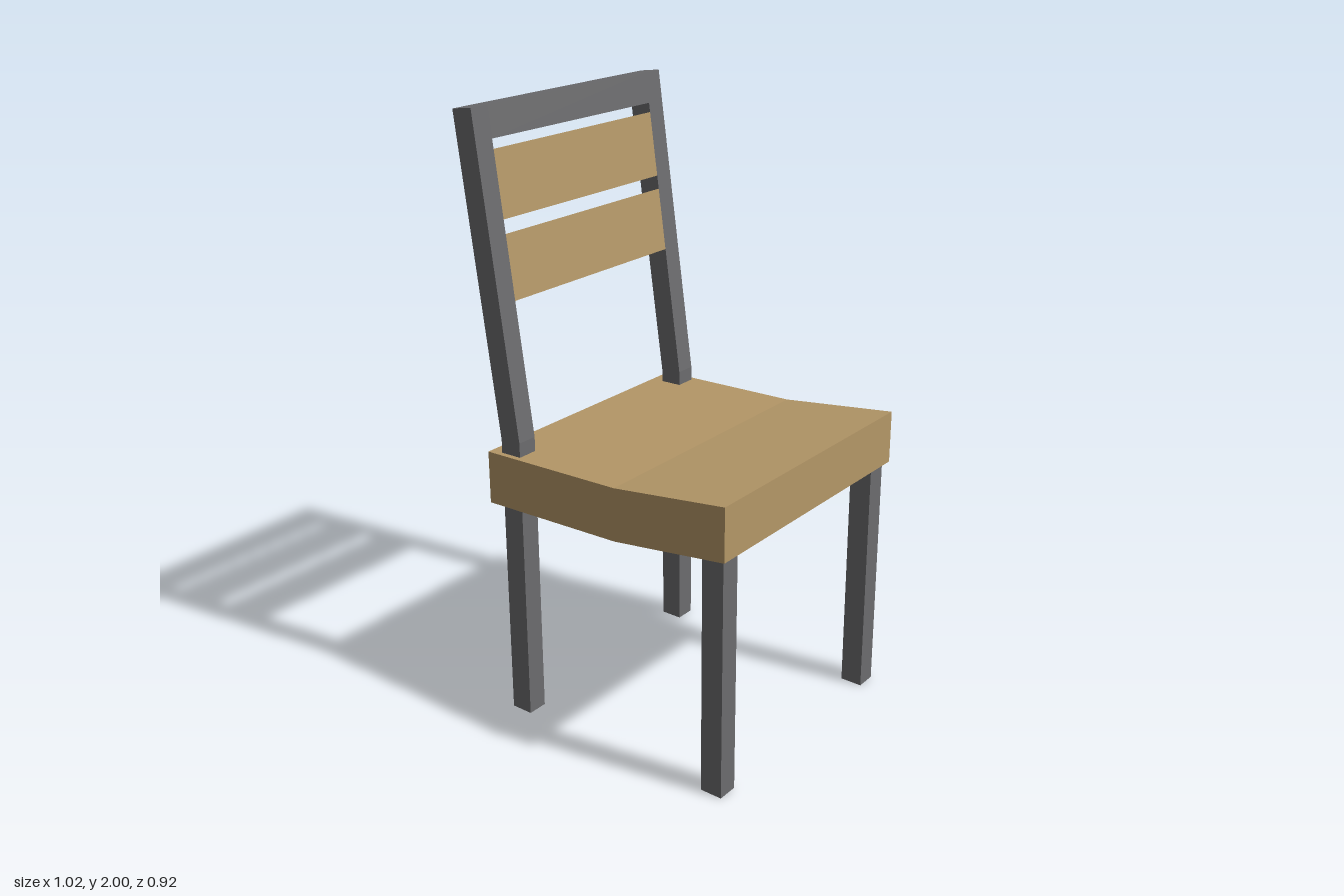
import * as THREE from 'three';

const wood = new THREE.MeshStandardMaterial({ color: 0xb59868, side: THREE.DoubleSide });
wood.name = 'wood';
const metal = new THREE.MeshStandardMaterial({ color: 0x6c6c6e, side: THREE.DoubleSide });
metal.name = 'grey metal';

const BAR = 0.076;      // bar size along x
const BAR_Z = 0.07;     // bar size along z
const SIDE_Z = 0.409;   // bar centre from the middle
const INNER = 2 * SIDE_Z - BAR_Z;

// Box given by its limits in x and y, centred on z, with an optional open bottom
function box(x0, x1, y0, y1, depth, open = false, segments = 1) {
  const g = new THREE.BoxGeometry(x1 - x0, y1 - y0, depth, segments, 1, 1);
  g.translate((x0 + x1) / 2, (y0 + y1) / 2, 0);
  if (open) {
    const bottom = g.groups[3];
    const index = Array.from(g.index.array);
    index.splice(bottom.start, bottom.count);
    g.setIndex(index);
  }
  g.clearGroups();
  return g;
}

function add(parent, name, geometry, material, z = 0) {
  const mesh = new THREE.Mesh(geometry, material);
  mesh.name = name;
  mesh.position.z = z;
  parent.add(mesh);
}

// Hollow seat, bent once along its length and rising to the front edge
function seatGeometry() {
  const g = box(-0.414, 0.506, 0, 0.176, 0.924, true, 2);
  const p = g.attributes.position;
  for (let i = 0; i < p.count; i++) {
    const x = p.getX(i);
    if (x > 0.4) p.setY(i, p.getY(i) + 0.814);
    else if (x < -0.4) p.setY(i, p.getY(i) + 0.748);
    else p.setXYZ(i, 0.1, p.getY(i) + 0.762, p.getZ(i));
  }
  const flat = g.toNonIndexed();
  flat.computeVertexNormals();
  return flat;
}

export function createModel() {
  const chair = new THREE.Group();
  chair.name = 'chair';
  add(chair, 'seat', seatGeometry(), wood);

  // Backrest leans back from the top of the rear legs
  const backrest = new THREE.Group();
  backrest.name = 'backrest';
  backrest.position.set(-0.295, 0.975, 0);
  backrest.rotation.z = Math.atan2(0.14, 1.025);
  chair.add(backrest);

  const length = 1.0345;
  for (const [side, s] of [['left', 1], ['right', -1]]) {
    const z = s * SIDE_Z;
    add(chair, side + 'FrontLeg', box(0.414, 0.414 + BAR, 0, 0.965, BAR_Z, true), metal, z);
    add(chair, side + 'BackLeg', box(-0.295 - BAR, -0.295, 0, 0.975, BAR_Z, true), metal, z);
    add(backrest, side + 'Post', box(-BAR, 0, 0, length, BAR_Z), metal, z);
  }
  add(backrest, 'topRail', box(-BAR, 0, 0.934, length, INNER), metal);

  // Thin slats level with the front of the posts
  for (const [name, y0, y1] of [['upperSlat', 0.691, 0.903], ['lowerSlat', 0.439, 0.646]]) {
    add(backrest, name, box(-0.004, 0, y0, y1, INNER), wood);
  }
  return chair;
}
